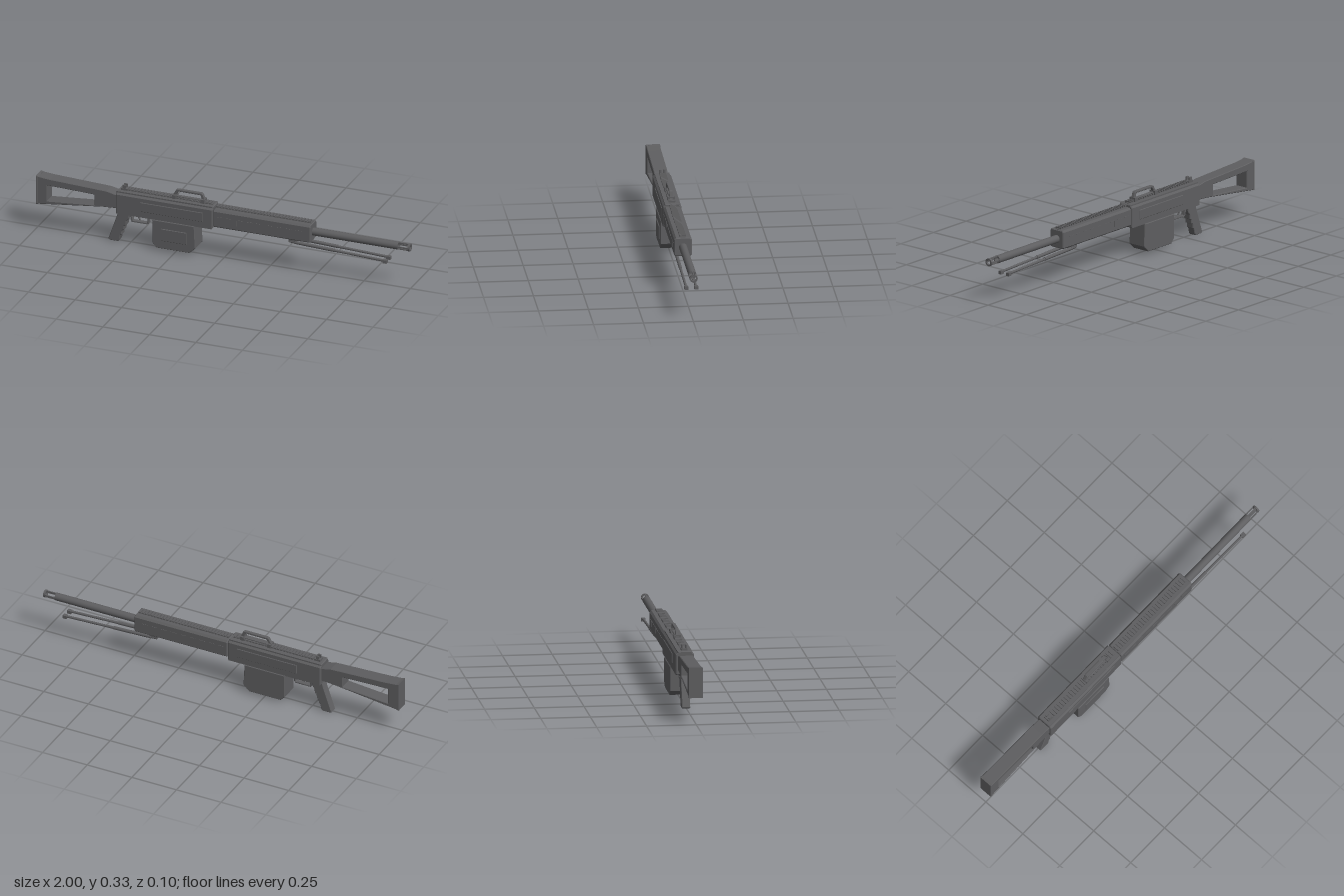
import * as THREE from 'three';

export function createModel() {
  const root = new THREE.Group();
  root.name = 'longGun';
  const gun = new THREE.Group();
  gun.name = 'body';
  gun.position.z = -0.002;
  root.add(gun);

  const gunmetal = new THREE.MeshStandardMaterial({ color: 0x5e5e60 });
  gunmetal.name = 'gunmetal';

  const add = (name, geo, x = 0, y = 0, z = 0) => {
    const m = new THREE.Mesh(geo, gunmetal);
    m.name = name;
    m.position.set(x, y, z);
    gun.add(m);
    return m;
  };
  const box = (name, x0, x1, y0, y1, z0, z1) =>
    add(name, new THREE.BoxGeometry(x1 - x0, y1 - y0, z1 - z0), (x0 + x1) / 2, (y0 + y1) / 2, (z0 + z1) / 2);
  const toPoints = (pts) => pts.map(([x, y]) => new THREE.Vector2(x, y));

  // Side profile (x, y) extruded symmetrically across z, with a small bevel
  const profile = (name, pts, half, holes = [], bevel = 0.003) => {
    const shape = new THREE.Shape(toPoints(pts));
    holes.forEach((h) => shape.holes.push(new THREE.Path(toPoints(h))));
    const geo = new THREE.ExtrudeGeometry(shape, {
      depth: 2 * (half - bevel), bevelEnabled: bevel > 0, bevelSize: bevel,
      bevelThickness: bevel, bevelOffset: -bevel, bevelSegments: 1,
    });
    return add(name, geo, 0, 0, -(half - bevel));
  };

  // Half cross-section (z, y) mirrored, then extruded along x
  const section = (name, halfPts, x0, x1, bevel = 0.004) => {
    const pts = [...halfPts, ...halfPts.slice().reverse().map(([z, y]) => [-z, y])];
    const geo = new THREE.ExtrudeGeometry(new THREE.Shape(toPoints(pts)), {
      depth: x1 - x0 - 2 * bevel, bevelEnabled: true, bevelSize: bevel,
      bevelThickness: bevel, bevelOffset: -bevel, bevelSegments: 1,
    });
    geo.rotateY(Math.PI / 2);
    return add(name, geo, x0 + bevel, 0, 0);
  };

  // Cylinder between two points
  const rod = (name, a, b, r, sides = 12) => {
    const p = new THREE.Vector3(...a), q = new THREE.Vector3(...b);
    const m = add(name, new THREE.CylinderGeometry(r, r, p.distanceTo(q), sides));
    m.position.copy(p).lerp(q, 0.5);
    m.quaternion.setFromUnitVectors(new THREE.Vector3(0, 1, 0), q.sub(p).normalize());
    return m;
  };

  // Skeleton stock with butt plate
  profile('stock',
    [[-0.99, 0.142], [-0.64, 0.185], [-0.56, 0.19], [-0.56, 0.262], [-0.62, 0.275], [-0.92, 0.287], [-0.99, 0.293]],
    0.035, [[[-0.94, 0.166], [-0.94, 0.251], [-0.685, 0.244], [-0.685, 0.188]]]);
  profile('buttPlate', [[-1, 0.14], [-0.987, 0.142], [-0.987, 0.293], [-1, 0.296]], 0.036, [], 0.002);

  // Receiver with stepped top and side plates
  section('receiver', [[0.046, 0.167], [0.046, 0.27], [0.037, 0.279], [0.037, 0.286]], -0.567, -0.048);
  for (const s of [-1, 1]) {
    const plate = profile('receiverSidePlate',
      [[-0.435, 0.2], [-0.1, 0.2], [-0.1, 0.25], [-0.435, 0.25]], 0.003, [], 0.002);
    plate.position.z += s * 0.0465;
  }

  // Fore-end with small raised side details
  section('handguard', [[0.038, 0.18], [0.044, 0.186], [0.044, 0.265], [0.035, 0.275]], -0.044, 0.477);
  for (const s of [-1, 1]) {
    const z = s * 0.0445;
    for (let i = 0; i < 9; i++) {
      const x = -0.025 + i * 0.053;
      box('handguardRib', x, x + 0.033, 0.236, 0.239, z - 0.0015, z + 0.0015);
    }
    for (const x of [0.08, 0.25, 0.4]) box('handguardTab', x, x + 0.004, 0.205, 0.236, z - 0.001, z + 0.001);
  }

  // Toothed top rails
  const rail = (x0, x1, y, n) => {
    box('railBase', x0, x1, y - 0.005, y + 0.003, -0.012, 0.012);
    const step = (x1 - x0) / n;
    for (let i = 0; i < n; i++) {
      box('railTooth', x0 + i * step, x0 + (i + 0.55) * step, y + 0.002, y + 0.01, -0.017, 0.017);
    }
  };
  rail(-0.51, -0.06, 0.286, 26);
  rail(-0.038, 0.472, 0.275, 30);

  // Rear sight
  box('rearSightBase', -0.55, -0.515, 0.284, 0.296, -0.016, 0.016);
  for (const s of [-1, 1]) box('rearSightEar', -0.543, -0.525, 0.295, 0.313, s * 0.01 - 0.004, s * 0.01 + 0.004);

  // Carry handle
  profile('carryHandle',
    [[-0.278, 0.294], [-0.1, 0.294], [-0.113, 0.33], [-0.12, 0.336], [-0.25, 0.336], [-0.257, 0.333]], 0.009,
    [[[-0.26, 0.301], [-0.245, 0.325], [-0.126, 0.325], [-0.118, 0.301]]], 0.002);
  for (const x of [-0.275, -0.122]) box('handleClamp', x, x + 0.02, 0.286, 0.306, -0.019, 0.019);

  // Pistol grip with finger grooves
  profile('grip', [
    [-0.617, 0.01], [-0.61, 0.004], [-0.565, 0.004], [-0.558, 0.012], [-0.552, 0.04], [-0.544, 0.045],
    [-0.543, 0.066], [-0.533, 0.071], [-0.532, 0.092], [-0.522, 0.097], [-0.52, 0.12], [-0.508, 0.135],
    [-0.502, 0.172], [-0.562, 0.172], [-0.575, 0.13]], 0.021);

  // Trigger and guard
  profile('triggerGuard', [[-0.51, 0.172], [-0.495, 0.118], [-0.41, 0.118], [-0.402, 0.126], [-0.402, 0.172]], 0.011,
    [[[-0.497, 0.166], [-0.402 - 0.007, 0.166], [-0.409, 0.127], [-0.413, 0.125], [-0.489, 0.125]]], 0.001);
  profile('trigger', [[-0.468, 0.17], [-0.454, 0.17], [-0.457, 0.145], [-0.45, 0.132], [-0.456, 0.132], [-0.464, 0.145]],
    0.005, [], 0.001);

  // Box magazine with raised front panel
  profile('magazine', [
    [-0.368, 0.168], [-0.368, 0.042], [-0.345, 0.018], [-0.17, 0.018], [-0.143, 0.042], [-0.137, 0.05], [-0.143, 0.168]],
    0.05);
  const panel = profile('magazinePanel',
    [[-0.318, 0.062], [-0.184, 0.062], [-0.184, 0.127], [-0.318, 0.127]], 0.004, [], 0.002);
  panel.position.z += 0.0505;

  // Barrel with a bore and a four-slot muzzle
  const barrelY = 0.227;
  const lathe = (name, pts) => {
    const m = add(name, new THREE.LatheGeometry(toPoints(pts), 24), 0, barrelY, 0);
    m.rotation.z = -Math.PI / 2;
    return m;
  };
  lathe('barrel', [[0, 0.47], [0.02, 0.47], [0.02, 0.47], [0.02, 0.936], [0.02, 0.936], [0.012, 0.936], [0.012, 0.936], [0.012, 0.9], [0, 0.9]]);
  lathe('muzzleRing', [[0.012, 0.99], [0.02, 0.99], [0.02, 0.99], [0.02, 1], [0.02, 1], [0.012, 1], [0.012, 1], [0.012, 0.99]]);
  for (let i = 0; i < 4; i++) {
    const a = i * Math.PI / 2;
    const bar = add('muzzleBar', new THREE.BoxGeometry(0.06, 0.006, 0.007), 0.963,
      barrelY + Math.cos(a) * 0.0165, Math.sin(a) * 0.0165);
    bar.rotation.x = a;
  }

  // Folded bipod
  box('bipodMount', 0.355, 0.4, 0.162, 0.184, -0.03, 0.03);
  for (const s of [-1, 1]) {
    const z = s * 0.025;
    rod('bipodLeg', [0.36, 0.164, z], [0.875, 0.144, z], 0.0065);
    rod('bipodSleeve', [0.39, 0.163, z], [0.6, 0.155, z], 0.0085);
    box('bipodFoot', 0.862, 0.884, 0.133, 0.15, z - 0.0095, z + 0.0095);
  }
  return root;
}
